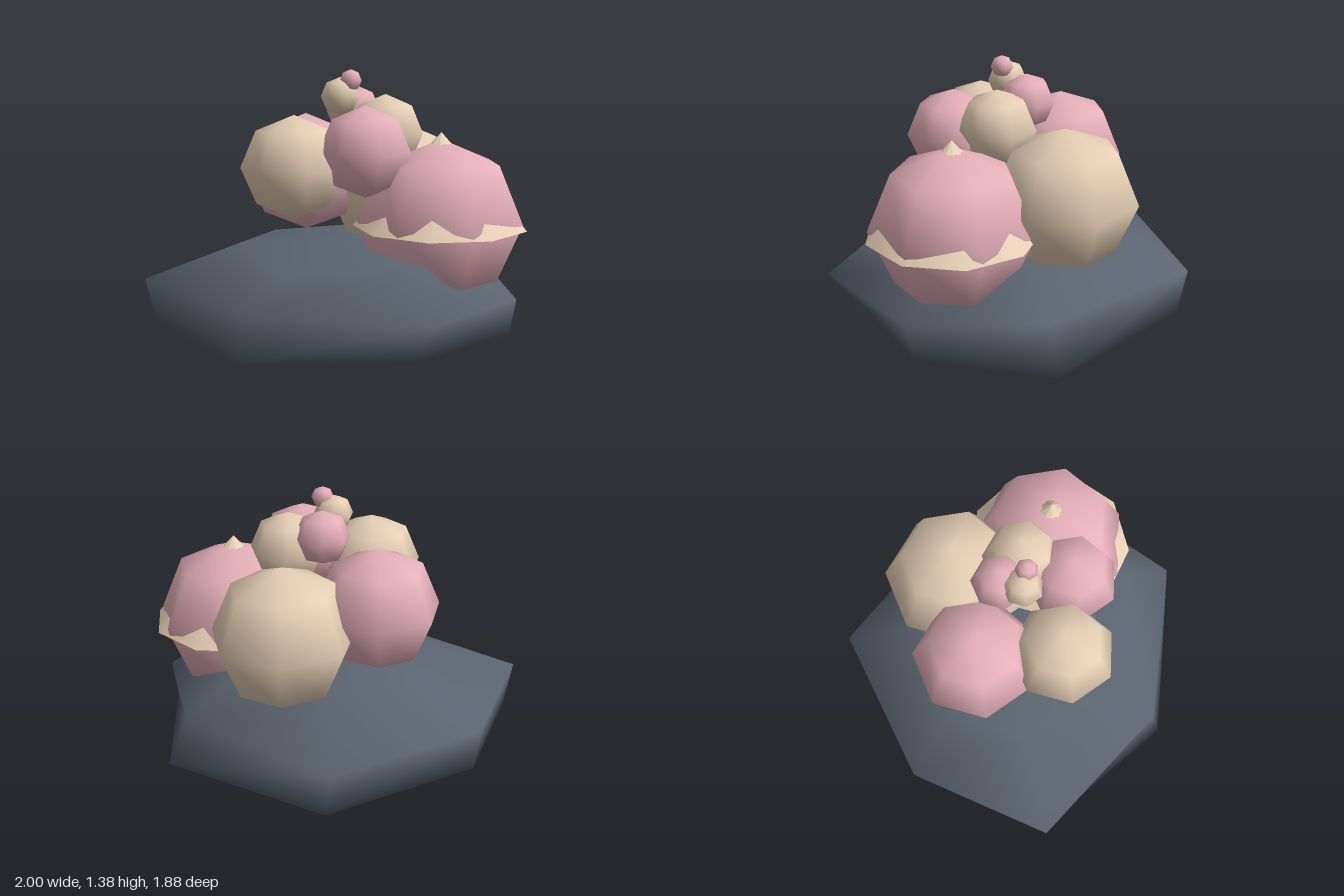
import * as THREE from 'three';

const pink = new THREE.MeshStandardMaterial({ color: 0xe6b0ba });
const cream = new THREE.MeshStandardMaterial({ color: 0xe6cfb5 });
const slate = new THREE.MeshStandardMaterial({ color: 0x5b6470 });

// Seven-sided smooth rock lofted from rings of [x, y, z], closed by two poles
function rockGeometry() {
  const bottom = [[0.92, 0.03, 0.05], [0.71, 0.02, -0.65], [-0.2, 0.01, -0.9], [-0.86, 0.01, -0.31],
    [-0.96, 0.01, 0.43], [-0.2, 0.01, 0.94], [0.6, 0.02, 0.61]];
  const middle = [[0.96, 0.23, 0.08], [0.64, 0.25, -0.55], [-0.23, 0.26, -0.94], [-0.89, 0.25, -0.33],
    [-1, 0.25, 0.47], [-0.2, 0.24, 0.88], [0.71, 0.24, 0.75]];
  const top = [[0.62, 0.39, 0.02], [0.42, 0.44, -0.37], [-0.13, 0.44, -0.5], [-0.53, 0.43, -0.2],
    [-0.56, 0.43, 0.22], [-0.1, 0.365, 0.61], [0.53, 0.46, 0.53]];
  const rings = [bottom, middle, top], n = 7;
  const points = [...rings.flat(), [0, 0, 0], [0, 0.45, 0]];
  const index = [];
  for (let i = 0; i < n; i++) {
    const j = (i + 1) % n;
    for (let r = 0; r < 2; r++) {
      const a = r * n + i, b = r * n + j;
      index.push(a, b, b + n, a, b + n, a + n);
    }
    index.push(3 * n, j, i, 3 * n + 1, 2 * n + i, 2 * n + j);
  }
  const g = new THREE.BufferGeometry();
  g.setAttribute('position', new THREE.Float32BufferAttribute(points.flat(), 3));
  g.setIndex(index);
  g.computeVertexNormals();
  return g;
}

export function createModel() {
  const group = new THREE.Group();
  const add = (name, geometry, material, x = 0, y = 0, z = 0) => {
    const mesh = new THREE.Mesh(geometry, material);
    mesh.name = name;
    mesh.position.set(x, y, z);
    group.add(mesh);
  };

  add('rockBase', rockGeometry(), slate);

  // Spiral of shrinking, slightly flattened balls: x, y, z, radius
  const balls = [
    [0.54, 0.61, 0.05, 0.437],
    [0.145, 0.707, -0.378, 0.39],
    [-0.298, 0.8, -0.125, 0.337],
    [-0.175, 0.885, 0.31, 0.28],
    [0.2, 0.975, 0.255, 0.245],
    [0.21, 1.05, -0.02, 0.209],
    [0.01, 1.15, -0.08, 0.15],
    [-0.02, 1.24, 0.05, 0.105],
    [0.04, 1.325, 0.05, 0.06],
  ];
  balls.forEach(([x, y, z, r], i) => {
    const g = new THREE.SphereGeometry(r, 7, 4).rotateY(Math.PI).scale(1, 0.97, 1);
    add('ball' + (i + 1), g, i % 2 ? cream : pink, x, y, z);
  });

  // Cone whose tip and rim peek out of the largest ball
  const cone = new THREE.ConeGeometry(0.458, 0.49, 9).rotateY(Math.PI / 2);
  add('shellCone', cone, cream, 0.54, 0.825, 0.05);

  return group;
}
